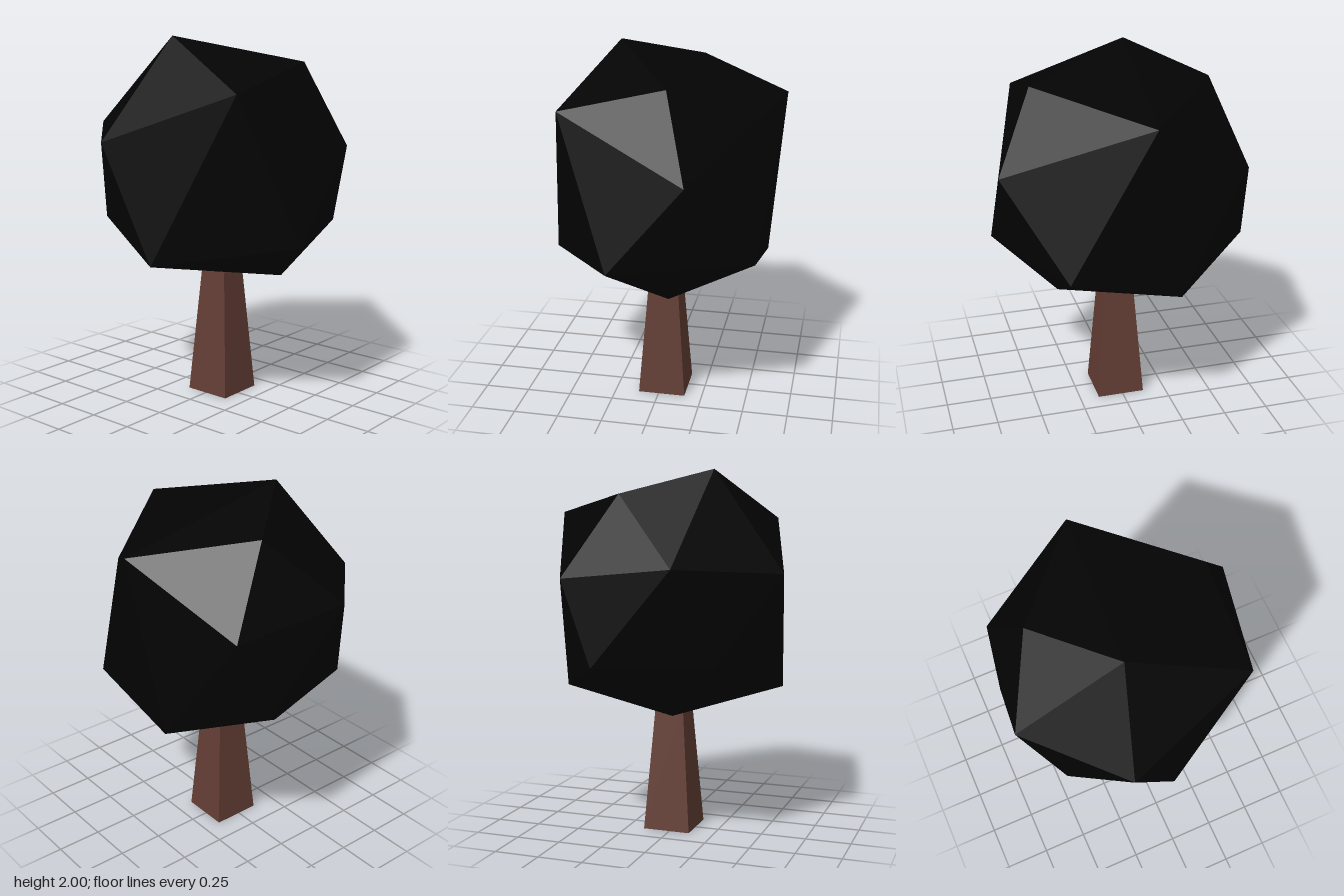
import * as THREE from 'three';
import { ConvexGeometry } from 'three/addons/geometries/ConvexGeometry.js';

export function createModel() {
  const tree = new THREE.Group();
  tree.name = 'tree';

  const foliage = new THREE.MeshStandardMaterial({ color: 0x030303, flatShading: true });
  foliage.name = 'black foliage';
  const bark = new THREE.MeshStandardMaterial({ color: 0x633e35, flatShading: true, side: THREE.DoubleSide });
  bark.name = 'brown bark';

  // Trunk: tapered square post, open at the ends
  const height = 0.705;
  const trunkGeometry = new THREE.CylinderGeometry(0.08 * Math.SQRT2, 0.133 * Math.SQRT2, height, 4, 1, true);
  trunkGeometry.rotateY(Math.PI / 4);
  const trunk = new THREE.Mesh(trunkGeometry, bark);
  trunk.name = 'trunk';
  trunk.position.set(0.018, height / 2, 0.01);
  tree.add(trunk);

  // Crown: irregular faceted ball, wrapped around its corner points
  const corners = [
    // upper ring and peak
    [-0.25, 2.0, -0.11], [0.66, 1.77, -0.03], [0.15, 1.87, -0.46],
    [0.11, 1.87, 0.485], [-0.45, 1.735, 0.485],
    // middle
    [-0.21, 1.505, -0.685], [0.42, 1.44, -0.6], [0.235, 1.435, 0.68], [-0.665, 1.465, -0.235],
    // lower ring
    [0.235, 0.99, -0.65], [-0.376, 1.0, -0.5], [0.56, 0.95, 0.39],
    [-0.165, 0.95, 0.675], [0.57, 0.815, -0.2], [-0.6, 0.835, 0.04],
    // bottom edge
    [-0.09, 0.705, -0.32], [0.1, 0.705, 0.36],
  ].map((p) => new THREE.Vector3(...p));
  const crown = new THREE.Mesh(new ConvexGeometry(corners), foliage);
  crown.name = 'crown';
  tree.add(crown);

  return tree;
}
